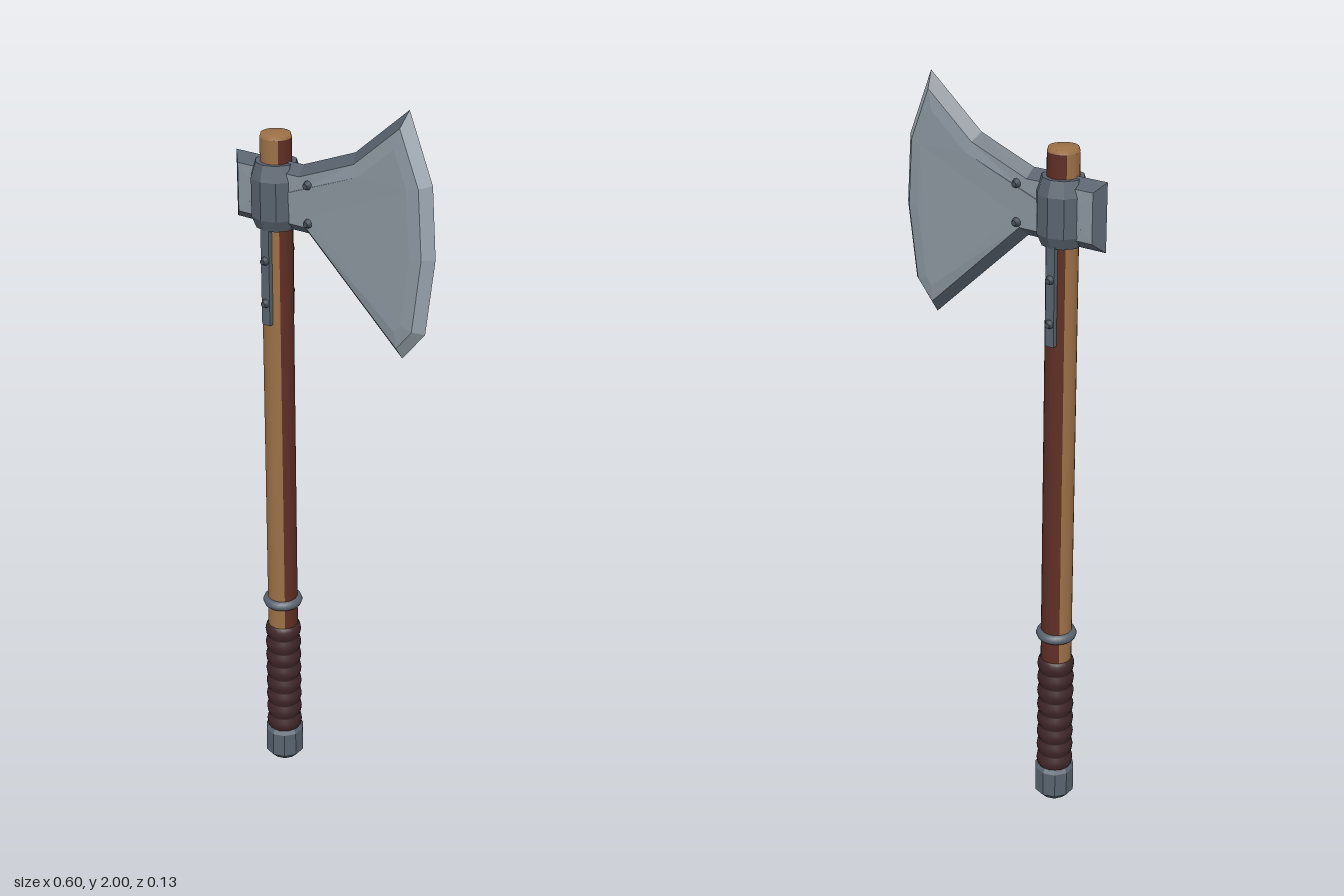
import * as THREE from 'three';

const mat = (name, color) => {
  const m = new THREE.MeshStandardMaterial({ color });
  m.name = name;
  return m;
};

export function createModel() {
  const root = new THREE.Group();
  root.name = 'battleAxe';
  const iron = mat('dark iron', 0x59636e);
  const steel = mat('steel', 0x8c96a0);
  const edgeSteel = mat('honed edge', 0x9aa5ae);
  const rivetIron = mat('rivet iron', 0x454d57);
  const paleWood = mat('pale wood', 0x9c7046);
  const redWood = mat('red wood', 0x5f2f24);
  const leather = mat('leather', 0x3e2628);
  const CX = -0.175; // handle axis

  const add = (name, geometry, material, x = CX, y = 0, z = 0) => {
    const m = new THREE.Mesh(geometry, material);
    m.name = name;
    m.position.set(x, y, z);
    root.add(m);
    return m;
  };
  const flat = (g) => {
    const f = g.toNonIndexed();
    f.computeVertexNormals();
    return f;
  };
  const lathe = (pts, sides) =>
    new THREE.LatheGeometry(pts.map(([r, y]) => new THREE.Vector2(r, y)), sides);

  // Handle: two lengthwise halves of different wood, and a rounded top
  const half = (start) => new THREE.CylinderGeometry(0.04, 0.042, 1.80, 14, 1, true, start, Math.PI);
  add('handlePaleHalf', half(-0.75 * Math.PI), paleWood, CX, 0.965);
  add('handleRedHalf', half(0.25 * Math.PI), redWood, CX, 0.965);
  add('handleTop', lathe([[0.04, 1.865], [0.037, 1.875], [0, 1.876]], 28), paleWood);

  // Leather grip with rounded coils
  const coils = 8, y0 = 0.1, pitch = 0.355 / coils;
  const grip = [[0.04, y0]];
  for (let i = 0; i < coils; i++) {
    for (const [t, r] of [[0.04, 0.044], [0.25, 0.0485], [0.5, 0.05], [0.75, 0.0485], [0.96, 0.044]]) {
      grip.push([r, y0 + (i + t) * pitch]);
    }
  }
  grip.push([0.04, y0 + coils * pitch]);
  add('gripWrap', lathe(grip, 20), leather);

  // Ring above the grip
  const ring = add('gripRing', new THREE.TorusGeometry(0.041, 0.014, 8, 24), iron, CX, 0.53);
  ring.rotation.x = Math.PI / 2;

  // Pommel cap and head collar, both faceted
  add('pommel', flat(lathe([[0, 0], [0.036, 0.002], [0.055, 0.022], [0.055, 0.095], [0.047, 0.107], [0.03, 0.107]], 10)), iron);
  add('collar', flat(lathe([[0.039, 1.635], [0.053, 1.635], [0.066, 1.665], [0.066, 1.765], [0.053, 1.805], [0.039, 1.805]], 10)), iron);

  // Axe head outline, counter-clockwise from the back of the poll
  const outline = [
    [-0.3, 1.81], [-0.3, 1.635], [-0.075, 1.635], [0.21, 1.37], [0.275, 1.45],
    [0.299, 1.65], [0.286, 1.83], [0.217, 2.0], [0.065, 1.87], [-0.09, 1.81],
  ].map(([x, y]) => new THREE.Vector2(x, y));
  const n = outline.length;
  const isCutting = (i) => i >= 3 && i <= 6;

  // Mitred inset of the outline
  const inset = (d) => outline.map((p, i) => {
    const a = p.clone().sub(outline[(i + n - 1) % n]).normalize();
    const b = outline[(i + 1) % n].clone().sub(p).normalize();
    const na = new THREE.Vector2(-a.y, a.x), nb = new THREE.Vector2(-b.y, b.x);
    return na.clone().add(nb).multiplyScalar(d / (1 + na.dot(nb))).add(p);
  });
  const mid = inset(0.024), inner = inset(0.055);
  const rings = [
    outline.map((p) => [p.x, p.y, 0]),
    mid.map((p) => [p.x, p.y, 0.026]),
    inner.map((p) => [p.x, p.y, p.x > -0.05 ? 0.031 : 0.027]),
  ];
  const faces = { rim: [], edge: [], cheek: [] };
  const tri = (list, a, b, c) => {
    list.push(...a, ...b, ...c);
    for (const [x, y, z] of [a, c, b]) list.push(x, y, -z); // mirrored back side
  };
  for (let i = 0; i < n; i++) {
    const j = (i + 1) % n;
    for (let k = 0; k < 2; k++) {
      const list = k ? faces.cheek : isCutting(i) ? faces.edge : faces.rim;
      tri(list, rings[k][i], rings[k][j], rings[k + 1][j]);
      tri(list, rings[k][i], rings[k + 1][j], rings[k + 1][i]);
    }
  }
  for (const [a, b, c] of THREE.ShapeUtils.triangulateShape(inner, [])) {
    tri(faces.cheek, rings[2][a], rings[2][b], rings[2][c]);
  }
  const headPart = (name, list, material) => {
    const g = new THREE.BufferGeometry();
    g.setAttribute('position', new THREE.Float32BufferAttribute(list, 3));
    g.computeVertexNormals();
    add(name, g, material, 0);
  };
  headPart('headRim', faces.rim, iron);
  headPart('cuttingEdge', faces.edge, edgeSteel);
  headPart('headCheeks', faces.cheek, steel);

  // Straps and rivets on both sides
  for (const s of [1, -1]) {
    const side = s > 0 ? 'front' : 'back';
    add(side + 'Strap', new THREE.BoxGeometry(0.025, 0.28, 0.017), iron, CX, 1.52, s * 0.0435);
    const rivet = (name, x, y, z) => {
      const r = add(name, new THREE.CylinderGeometry(0.007, 0.0125, 0.013, 10), rivetIron, x, y, s * z);
      r.rotation.x = s * Math.PI / 2;
    };
    for (const y of [1.44, 1.555]) rivet(side + 'StrapRivet', CX, y, 0.057);
    for (const y of [1.672, 1.77]) rivet(side + 'CheekRivet', -0.058, y, 0.0325);
  }
  return root;
}
